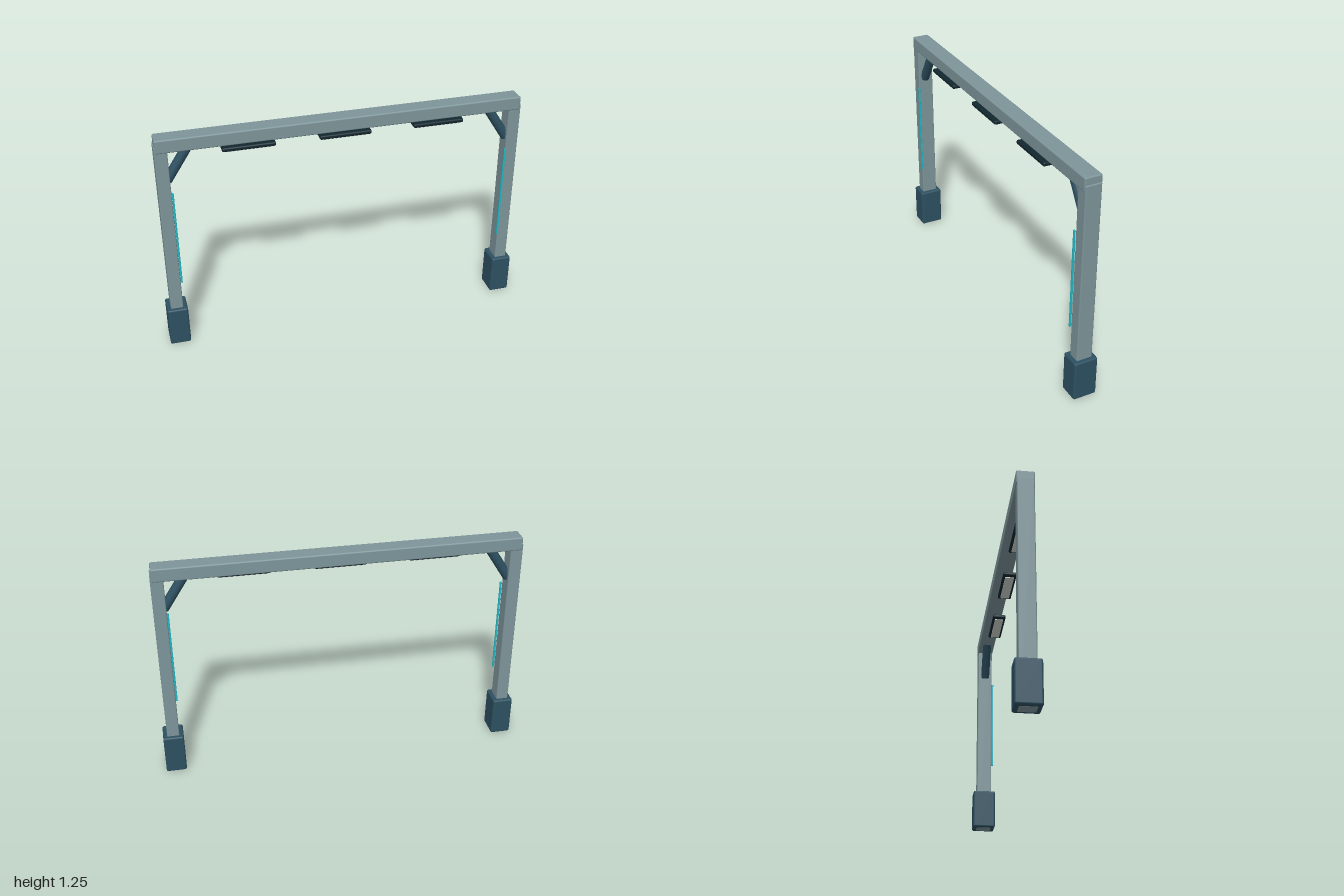
import * as THREE from 'three';
import { RoundedBoxGeometry } from 'three/addons/geometries/RoundedBoxGeometry.js';

function material(name, color) {
  const m = new THREE.MeshStandardMaterial({ color });
  m.name = name;
  return m;
}

export function createModel() {
  const model = new THREE.Group();
  model.name = 'archFrame';

  const steel = material('grey steel', 0x7d959a);
  const darkBlue = material('dark blue paint', 0x2d5061);
  const black = material('blue black housing', 0x11262f);
  const lens = material('pale lens', 0xcfd2cc);
  const cyan = material('cyan strip', 0x22b8c4);

  function add(name, geometry, mat, x, y, z) {
    const mesh = new THREE.Mesh(geometry, mat);
    mesh.name = name;
    mesh.position.set(x, y, z);
    model.add(mesh);
    return mesh;
  }
  const box = (w, h, d, r) => new RoundedBoxGeometry(w, h, d, 3, r);

  // Top beam across both posts
  add('topBeam', box(1.946, 0.074, 0.094, 0.008), steel, 0, 1.21, -0.001);

  // Mirrored sides: foot, post, diagonal brace, light strip
  const up = new THREE.Vector3(0, 1, 0);
  for (const [side, s] of [['left', 1], ['right', -1]]) {
    add(side + 'Foot', box(0.112, 0.225, 0.13, 0.01), darkBlue, s * 0.944, 0.1155, -0.001);
    add(side + 'Post', box(0.067, 1.207, 0.087, 0.006), steel, s * 0.9445, 0.6035, -0.001);

    const low = new THREE.Vector3(s * 0.922, 1.0, 0);
    const high = new THREE.Vector3(s * 0.803, 1.184, 0);
    const span = high.clone().sub(low);
    const brace = add(side + 'Brace', new THREE.CylinderGeometry(0.026, 0.026, span.length(), 24),
      darkBlue, (low.x + high.x) / 2, (low.y + high.y) / 2, 0);
    brace.quaternion.setFromUnitVectors(up, span.normalize());

    add(side + 'LightStrip', box(0.01, 0.55, 0.01, 0.002), cyan, s * 0.906, 0.67, 0.0465);
  }

  // Three lamps hanging below the beam, set toward the front
  for (const x of [-0.505, 0, 0.505]) {
    add('lampHousing', box(0.276, 0.023, 0.076, 0.009), black, x, 1.1605, 0.029);
    add('lampLens', box(0.235, 0.008, 0.05, 0.002), lens, x, 1.147, 0.029);
    // Short mount joining the housing to the beam
    add('lampMount', new THREE.BoxGeometry(0.1, 0.012, 0.03), black, x, 1.173, 0.012);
  }

  return model;
}
